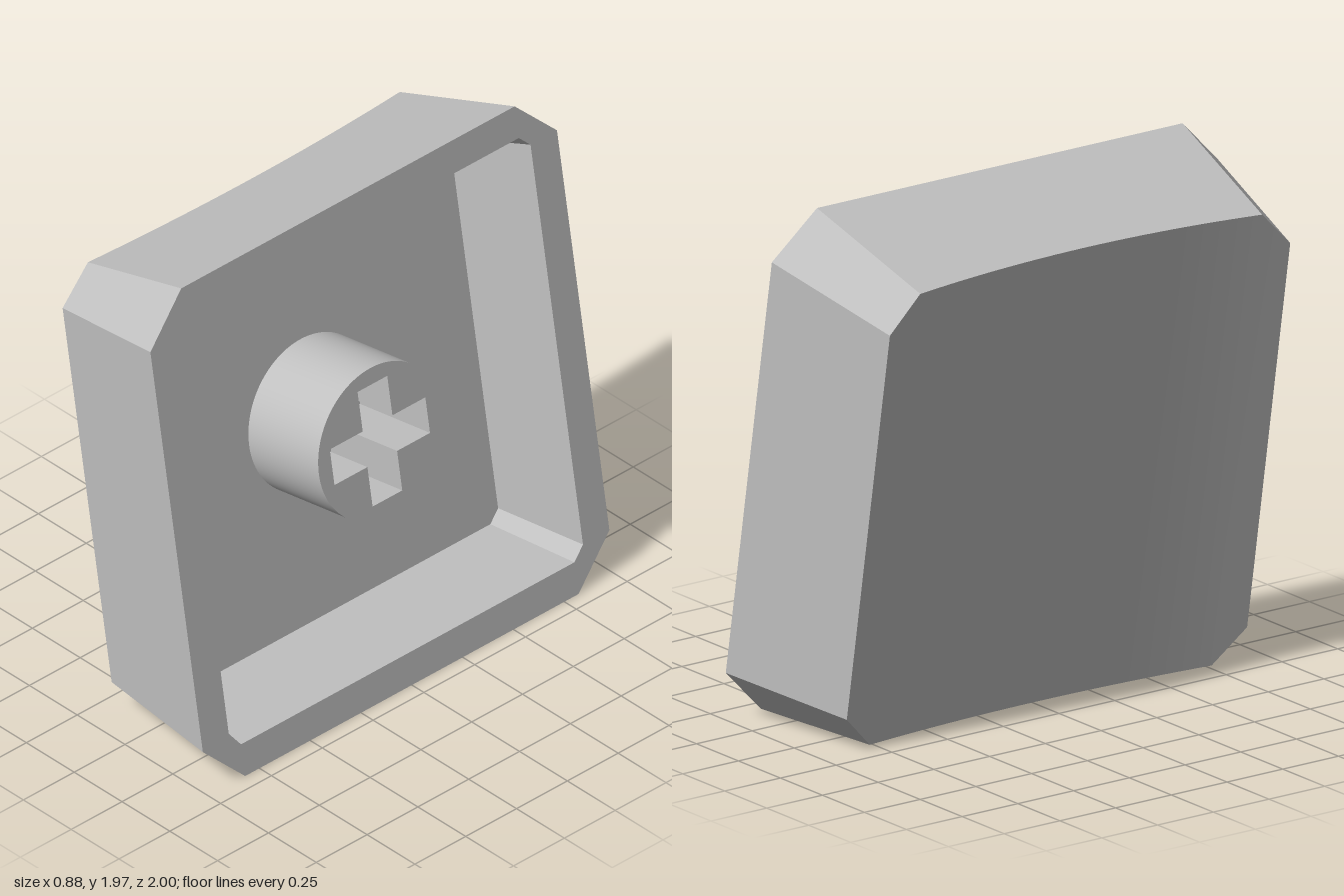
import * as THREE from 'three';
import { mergeVertices, toCreasedNormals } from 'three/addons/utils/BufferGeometryUtils.js';

// Local frame: x is depth (rim at 0, dished face at -x), y and z span the cap.
const FLOOR = -0.37, TAPER = 0.175;
const RIM = 1, RIM_C = 0.82;        // rim half size and where its corner cuts start
const FACE = 0.898, FACE_C = 0.767; // same for the dished face
const dish = z => -0.527 - 0.058 * (z / 0.9) ** 2;

// Geometry from four-cornered faces
function fromQuads(quads, smooth = false) {
  const pos = [];
  for (const [a, b, c, d] of quads) pos.push(...a, ...b, ...c, ...a, ...c, ...d);
  let geo = new THREE.BufferGeometry();
  geo.setAttribute('position', new THREE.Float32BufferAttribute(pos, 3));
  if (smooth) geo = mergeVertices(geo);
  geo.computeVertexNormals();
  return geo;
}

// Square with cut corners, counter-clockwise
const octagon = (h, c) => [[h, -c], [h, c], [c, h], [-c, h], [-h, c], [-h, -c], [-c, -h], [c, -h]]
  .map(([x, y]) => new THREE.Vector2(x, y));

export function createModel() {
  const grey = new THREE.MeshStandardMaterial({ color: 0xc0c0c0 });
  grey.name = 'grey plastic';
  const cap = new THREE.Group();
  cap.name = 'keycap';
  const add = (name, geo) => {
    const mesh = new THREE.Mesh(geo, grey);
    mesh.name = name;
    cap.add(mesh);
    return mesh;
  };

  // Columns across z, from one cut corner to the other
  const SEG = 24, cols = [-1];
  for (let i = 0; i <= SEG; i++) cols.push((i / SEG) * 2 - 1);
  cols.push(1);
  const last = cols.length - 1;
  const isEnd = i => i === 0 || i === last;
  const facePoint = (i, s) => {
    const z = cols[i] * (isEnd(i) ? FACE : FACE_C), x = dish(z);
    return [x, s * (isEnd(i) ? FACE_C : 1 + TAPER * x), z];
  };
  const rimPoint = (i, s) =>
    [0, s * (isEnd(i) ? RIM_C : RIM), cols[i] * (isEnd(i) ? RIM : RIM_C)];

  // Dished face and tapered outer walls
  const face = [], walls = [];
  for (let i = 0; i < last; i++) {
    face.push([facePoint(i, -1), facePoint(i + 1, -1), facePoint(i + 1, 1), facePoint(i, 1)]);
    for (const s of [1, -1]) {
      const q = [facePoint(i, s), facePoint(i + 1, s), rimPoint(i + 1, s), rimPoint(i, s)];
      walls.push(s > 0 ? q : q.reverse());
    }
  }
  for (const i of [0, last]) {
    const q = [facePoint(i, -1), rimPoint(i, -1), rimPoint(i, 1), facePoint(i, 1)];
    walls.push(i ? q : q.reverse());
  }
  add('dishedFace', fromQuads(face, true));
  add('outerWalls', fromQuads(walls));

  // Flat rim around the opening
  const mouth = octagon(0.87, 0.82), base = octagon(0.805, 0.76);
  const rimShape = new THREE.Shape(octagon(RIM, RIM_C));
  rimShape.holes.push(new THREE.Path(mouth));
  add('rim', new THREE.ShapeGeometry(rimShape)).rotation.y = Math.PI / 2;

  // Cavity walls and floor
  const at = (p, x) => [x, p.y, -p.x];
  add('cavityWalls', fromQuads(mouth.map((p, i) => {
    const j = (i + 1) % 8;
    return [at(p, 0), at(mouth[j], 0), at(base[j], FLOOR), at(base[i], FLOOR)];
  })));
  const floor = add('cavityFloor', new THREE.ShapeGeometry(new THREE.Shape(base)));
  floor.rotation.y = Math.PI / 2;
  floor.position.x = FLOOR;

  // Round stem with a cross-shaped socket
  const stemShape = new THREE.Shape().absarc(0, 0, 0.3, 0, Math.PI * 2);
  const a = 0.235, b = 0.073;
  stemShape.holes.push(new THREE.Path([
    [a, -b], [a, b], [b, b], [b, a], [-b, a], [-b, b],
    [-a, b], [-a, -b], [-b, -b], [-b, -a], [b, -a], [b, -b],
  ].map(([x, y]) => new THREE.Vector2(x, y))));
  const stemGeo = new THREE.ExtrudeGeometry(stemShape, { depth: -FLOOR, bevelEnabled: false, curveSegments: 64 });
  const stem = add('stem', toCreasedNormals(stemGeo, 0.5));
  stem.rotation.y = Math.PI / 2;
  stem.position.x = FLOOR;

  // Lean the cap back onto its lower edge
  cap.rotation.z = 0.168;
  cap.position.set(0.27, 0.987, 0);
  const model = new THREE.Group();
  model.name = 'model';
  model.add(cap);
  return model;
}
